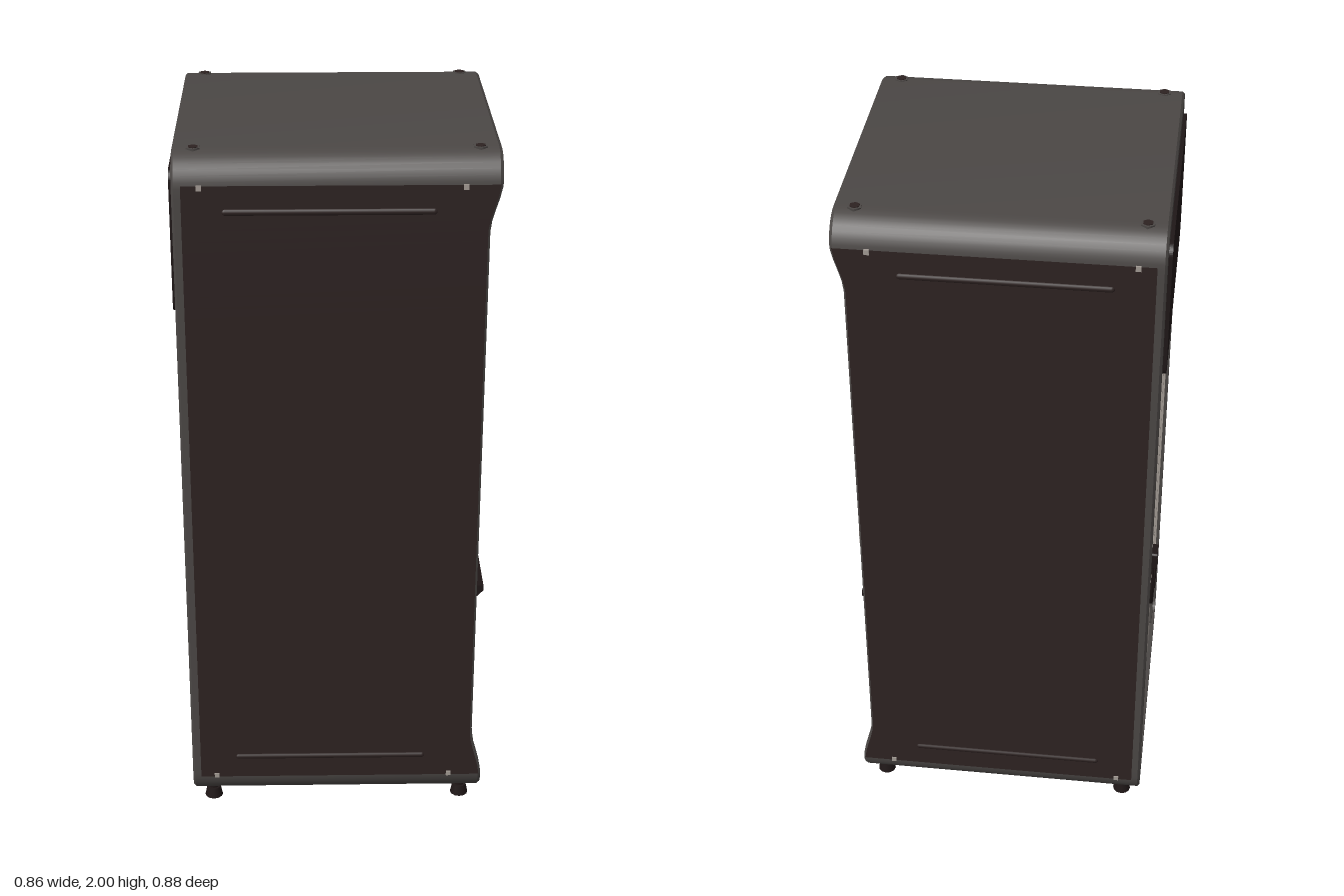
import * as THREE from 'three';
import { toCreasedNormals } from 'three/addons/utils/BufferGeometryUtils.js';

const mat = (name, color) => new THREE.MeshStandardMaterial({ name, color, side: THREE.DoubleSide });

export function createModel() {
  const g = new THREE.Group();
  const shellGrey = mat('shell grey', 0x4b4745);
  const brown = mat('dark brown', 0x2d2221);
  const black = mat('brown black', 0x1f1717);
  const light = mat('light grey', 0xa29a93);

  const add = (name, geo, m) => {
    const mesh = new THREE.Mesh(geo, m);
    mesh.name = name;
    g.add(mesh);
    return mesh;
  };

  // Front edge curve: flares forward at the top and bottom
  const frontX = y => 0.39 + 0.03 * Math.max(
    THREE.MathUtils.smoothstep(y, 1.79, 1.93), 1 - THREE.MathUtils.smoothstep(y, 0.11, 0.27));

  // Skin through rows of points
  const loft = (name, m, rows, closed = false) => {
    const n = rows[0].length, idx = [];
    for (let i = 0; i < rows.length - 1; i++)
      for (let j = 0; j < (closed ? n : n - 1); j++) {
        const a = i * n + j, b = i * n + (j + 1) % n, c = a + n, d = b + n;
        idx.push(a, b, d, a, d, c);
      }
    const geo = new THREE.BufferGeometry();
    geo.setAttribute('position', new THREE.Float32BufferAttribute(rows.flat(2), 3));
    geo.setIndex(idx);
    return add(name, toCreasedNormals(geo, 0.5), m);
  };

  // Rounded cabinet outline, inset by d, at depth x(y)
  const Y0 = 0.043, Y1 = 1.996, HZ = 0.434, R = 0.085;
  const outline = (d, x) => {
    const r = Math.max(R - d, 0.03), hz = HZ - d - r, y0 = Y0 + d + r, y1 = Y1 - d - r, pts = [];
    const corner = (cz, cy, start) => {
      for (let i = 0; i <= 8; i++) {
        const a = start + i / 8 * Math.PI / 2;
        pts.push([cz + r * Math.cos(a), cy + r * Math.sin(a)]);
      }
    };
    const side = (z, a, b) => {
      for (let i = 1; i < 60; i++) pts.push([z, a + (b - a) * i / 60]);
    };
    corner(hz, y0, -Math.PI / 2);
    side(hz + r, y0, y1);
    corner(hz, y1, 0);
    corner(-hz, y1, Math.PI / 2);
    side(-hz - r, y1, y0);
    corner(-hz, y0, Math.PI);
    return pts.map(([z, y]) => [x(y), y, z]);
  };
  const at = v => () => v, front = off => y => frontX(y) - off;

  loft('cabinetShell', shellGrey, [
    outline(0.055, at(-0.40)), outline(0.055, at(-0.42)), outline(0.006, at(-0.42)), outline(0, at(-0.414)),
    outline(0, front(0.008)), outline(0.006, front(0)), outline(0.027, front(0)), outline(0.027, front(0.006)),
  ], true);
  loft('frontTrim', light, [outline(0.027, front(0.004)), outline(0.046, front(0.004))], true);
  loft('trimInnerEdge', shellGrey, [outline(0.046, front(0.004)), outline(0.046, front(0.012))], true);

  // Curved front sheet above and below the flat middle
  const sheet = (name, ya, yb) => {
    const rows = [], d = 0.046, r = R - d;
    for (let i = 0; i <= 48; i++) {
      const y = ya + (yb - ya) * i / 48;
      const k = Math.min(r, Math.max(0, y - (Y1 - d - r), Y0 + d + r - y));
      const hz = HZ - d - r + Math.sqrt(r * r - k * k), x = frontX(y) - 0.01;
      rows.push([[x, y, hz], [x, y, -hz]]);
    }
    loft(name, shellGrey, rows);
  };
  sheet('upperFrontSheet', 1.6, Y1 - 0.046);
  sheet('lowerFrontSheet', Y0 + 0.046, 0.55);

  // Rounded plate facing +x, with an optional rectangular opening
  const rounded = (z0, z1, y0, y1, r) => {
    const s = new THREE.Shape();
    s.absarc(-z0 - r, y0 + r, r, -Math.PI / 2, 0);
    s.absarc(-z0 - r, y1 - r, r, 0, Math.PI / 2);
    s.absarc(-z1 + r, y1 - r, r, Math.PI / 2, Math.PI);
    s.absarc(-z1 + r, y0 + r, r, Math.PI, Math.PI * 1.5);
    return s;
  };
  const plate = (name, m, x0, x1, z0, z1, y0, y1, r, hole) => {
    const s = rounded(z0, z1, y0, y1, r);
    if (hole) s.holes.push(rounded(...hole));
    const geo = new THREE.ExtrudeGeometry(s, { depth: x1 - x0, bevelEnabled: false, curveSegments: 5 });
    return add(name, geo.rotateY(Math.PI / 2).translate(x0, 0, 0), m);
  };
  const box = (name, m, x0, x1, y0, y1, z0, z1) => add(name,
    new THREE.BoxGeometry(x1 - x0, y1 - y0, z1 - z0).translate((x0 + x1) / 2, (y0 + y1) / 2, (z0 + z1) / 2), m);
  // Side-on profile in x and y, extruded along z
  const profile = (name, m, pts, z0, z1) => add(name, new THREE.ExtrudeGeometry(
    new THREE.Shape(pts.map(p => new THREE.Vector2(...p))), { depth: z1 - z0, bevelEnabled: false }).translate(0, 0, z0), m);

  // Flat middle and control panel around the dispensing bay
  const bay = [0.055, 0.295, 0.68, 1.025, 0.006];
  plate('middleFrontSheet', shellGrey, 0.375, 0.38, -0.388, 0.388, 0.55, 1.6, 0.001, bay);
  plate('controlPanel', brown, 0.378, 0.386, -0.33, 0.33, 0.49, 1.645, 0.06, bay);
  plate('displayScreen', light, 0.384, 0.39, -0.31, 0.31, 1.08, 1.425, 0.008);

  // Dispensing bay
  box('bayBack', black, 0.235, 0.24, 0.68, 1.025, 0.055, 0.295);
  box('bayTop', black, 0.24, 0.38, 1.022, 1.026, 0.055, 0.295);
  box('bayFloor', light, 0.24, 0.38, 0.676, 0.684, 0.055, 0.295);
  for (const z of [0.055, 0.295]) box('bayWall', brown, 0.24, 0.38, 0.68, 1.025, z - 0.002, z + 0.002);
  box('bayColumn', brown, 0.24, 0.29, 0.684, 1.0, 0.11, 0.27);
  box('bayNozzle', black, 0.24, 0.34, 0.97, 1.01, 0.145, 0.235);
  box('bayLever', black, 0.29, 0.30, 0.85, 0.95, 0.15, 0.23);

  // White door with handle
  plate('bayDoor', light, 0.384, 0.392, -0.295, 0.052, 0.68, 1.027, 0.008);
  plate('handleSurround', brown, 0.391, 0.3925, -0.268, -0.242, 0.785, 0.92, 0.01);
  profile('doorHandle', light, [[0.39, 0.79], [0.39, 0.91], [0.424, 0.885], [0.428, 0.87], [0.428, 0.825], [0.424, 0.81]], -0.265, -0.248);

  // Spout block
  plate('spoutBlock', brown, 0.384, 0.403, -0.215, 0.005, 0.96, 1.065, 0.008);
  profile('spout', black, [[0.385, 0.93], [0.385, 0.97], [0.41, 0.97], [0.40, 0.935]], -0.15, -0.06);

  // Drip tray
  profile('dripTray', black, [[0.38, 0.635], [0.38, 0.678], [0.422, 0.675], [0.422, 0.66], [0.40, 0.637]], -0.305, 0.3);
  for (const z of [0.235, -0.235]) box('trayPin', light, 0.385, 0.39, 0.61, 0.65, z - 0.003, z + 0.003);
  box('lockPin', light, 0.385, 0.39, 0.825, 0.835, 0.308, 0.318);

  // Card reader
  plate('readerBody', shellGrey, 0.384, 0.425, -0.27, -0.185, 1.458, 1.573, 0.008);
  plate('readerFace', black, 0.424, 0.427, -0.263, -0.192, 1.468, 1.565, 0.006);
  plate('readerScreen', light, 0.425, 0.429, -0.25, -0.2, 1.51, 1.555, 0.003);

  // Vent slots, low on the front
  for (let i = 0; i < 5; i++) {
    const z = -0.258 - i * 0.019;
    plate('ventSlot', light, frontX(0.13) - 0.012, frontX(0.13) - 0.006, z - 0.003, z + 0.003, 0.108, 0.145, 0.002);
  }

  // Side panels with pressed ribs and corner clips
  for (const s of [1, -1]) {
    const rows = [];
    for (let i = 0; i <= 60; i++) {
      const y = 0.12 + 1.8 * i / 60;
      rows.push([[-0.396, y, s * 0.4365], [frontX(y) - 0.006, y, s * 0.4365]]);
    }
    loft('sidePanel', brown, rows);
    for (const [y, yc] of [[1.85, 1.915], [0.19, 0.125]]) {
      const rib = new THREE.CapsuleGeometry(0.009, 0.53, 4, 8).rotateZ(Math.PI / 2).scale(1, 1, 0.6);
      add('sideRib', rib.translate(-0.02, y, s * 0.4355), brown);
      for (const x of [-0.35, 0.325])
        box('cornerClip', light, x - 0.007, x + 0.007, yc - 0.007, yc + 0.007, s * 0.437 - 0.003, s * 0.437 + 0.003);
    }
  }

  // Back: upper cover and service panel
  plate('backCover', black, -0.43, -0.40, -0.37, 0.37, 1.55, 1.94, 0.03);
  plate('backPanel', light, -0.408, -0.402, -0.379, 0.379, 0.098, 1.56, 0.02);
  const frame = (name, z0, z1, y0, y1, r, w = 0.008) =>
    plate(name, light, -0.413, -0.407, z0, z1, y0, y1, r, [z0 + w, z1 - w, y0 + w, y1 - w, Math.max(r - w, 0.002)]);
  frame('backRibLarge', 0.07, 0.3, 0.42, 1.45, 0.03);
  frame('backRibNarrow', -0.355, -0.26, 0.42, 1.4, 0.015);
  frame('accessHatch', -0.21, -0.11, 0.18, 0.33, 0.012, 0.005);
  frame('plugPlate', -0.11, 0.0, 0.6, 0.74, 0.01, 0.005);
  for (let c = 0; c < 2; c++)
    for (let i = 0; i < 6; i++)
      box('backVent', shellGrey, -0.41, -0.407, 0.13 + i * 0.025, 0.14 + i * 0.025, -0.35 + c * 0.06, -0.305 + c * 0.06);
  for (let i = 0; i < 4; i++)
    box('topBackVent', shellGrey, -0.41, -0.407, 1.44 + i * 0.022, 1.448 + i * 0.022, -0.35, -0.26);
  plate('powerPlug', black, -0.428, -0.407, -0.07, -0.015, 0.64, 0.7, 0.008);
  plate('powerSocket', shellGrey, -0.415, -0.407, 0.2, 0.25, 0.18, 0.31, 0.01);
  const cord = new THREE.CatmullRomCurve3([[0.64, -0.04], [0.54, -0.045], [0.46, -0.01], [0.43, 0.06], [0.41, 0.15], [0.42, 0.22], [0.39, 0.26], [0.31, 0.23]]
    .map(([y, z]) => new THREE.Vector3(-0.414, y, z)));
  add('powerCord', new THREE.TubeGeometry(cord, 40, 0.006, 6), black);

  // Feet and top bolts
  for (const x of [-0.365, 0.365])
    for (const z of [-0.355, 0.355]) {
      add('foot', new THREE.CylinderGeometry(0.02, 0.026, 0.03, 12).translate(x, 0.015, z), black);
      add('footStem', new THREE.CylinderGeometry(0.014, 0.014, 0.03, 12).translate(x, 0.035, z), black);
      add('topBolt', new THREE.CylinderGeometry(0.014, 0.014, 0.012, 6).translate(x, 1.994, z), brown);
      add('topWasher', new THREE.CylinderGeometry(0.02, 0.02, 0.008, 6).translate(x, 1.994, z), shellGrey);
    }
  return g;
}
